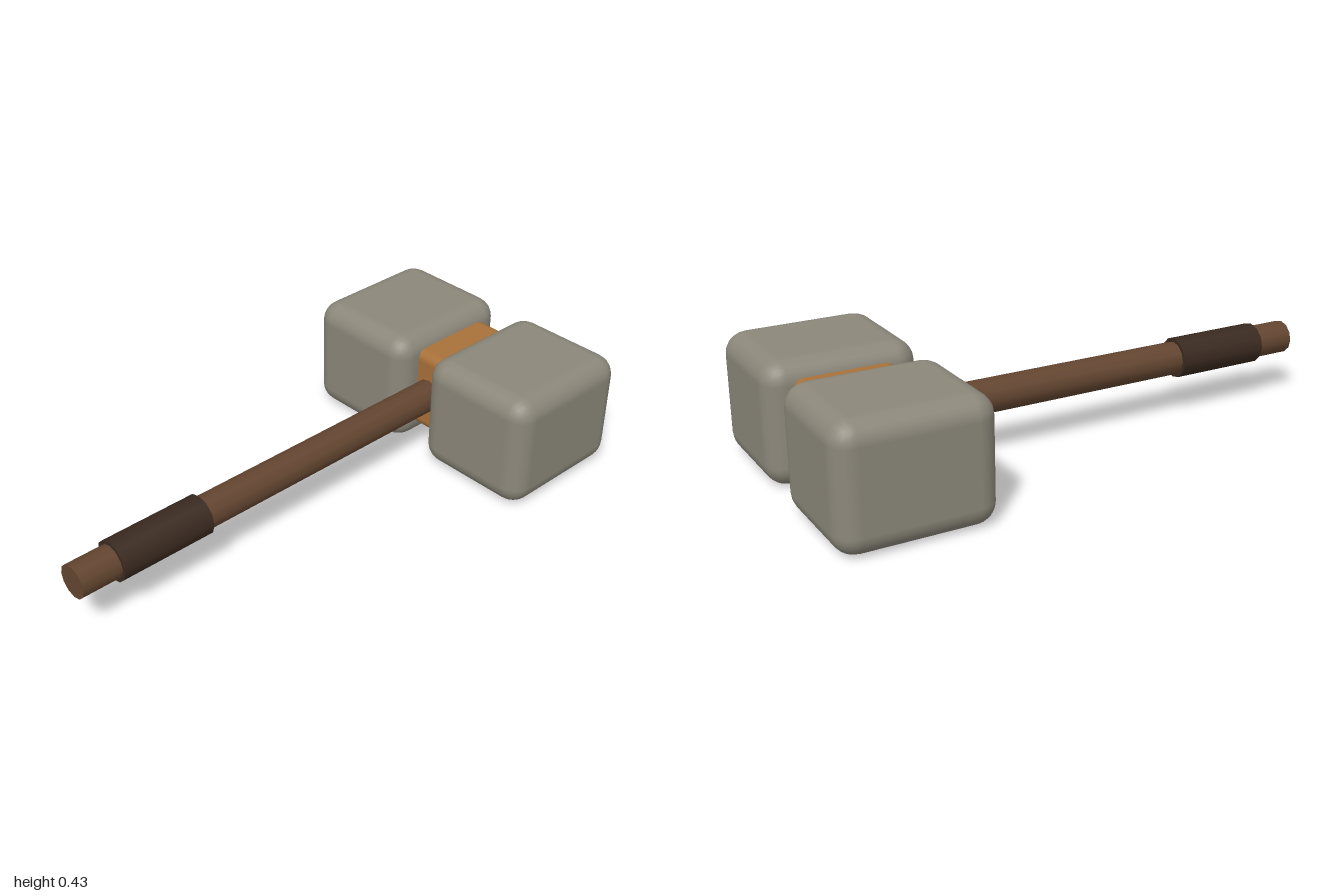
import * as THREE from 'three';
import { RoundedBoxGeometry } from 'three/addons/geometries/RoundedBoxGeometry.js';

const AXIS_Y = 0.214; // height of the handle axis
const HEAD_Z = -0.735; // centre of the head

function material(name, color) {
  const m = new THREE.MeshStandardMaterial({ color });
  m.name = name;
  return m;
}

export function createModel() {
  const group = new THREE.Group();
  group.name = 'hammer';
  const stone = material('grey stone', 0x8b877a);
  const band = material('tan wood', 0xa87038);
  const wood = material('brown wood', 0x634530);
  const leather = material('dark leather', 0x3a2a20);

  const add = (name, geometry, mat, x, z) => {
    const mesh = new THREE.Mesh(geometry, mat);
    mesh.name = name;
    mesh.position.set(x, AXIS_Y, z);
    group.add(mesh);
  };

  // Rod lying along z between two depths
  const rod = (name, radius, z0, z1, mat) => {
    const geometry = new THREE.CylinderGeometry(radius, radius, z1 - z0, 12).rotateX(Math.PI / 2);
    add(name, geometry, mat, 0, (z0 + z1) / 2);
  };

  // Two stone blocks, mirrored
  for (const [name, side] of [['leftBlock', 1], ['rightBlock', -1]]) {
    add(name, new RoundedBoxGeometry(0.458, 0.428, 0.53, 3, 0.075), stone, side * 0.284, HEAD_Z);
  }

  // Core joining the blocks
  add('core', new RoundedBoxGeometry(0.3, 0.318, 0.35, 3, 0.035), band, 0, HEAD_Z);

  // Handle and its grip wrap
  rod('handle', 0.06, -0.7, 1, wood);
  rod('grip', 0.073, 0.505, 0.855, leather);

  return group;
}
